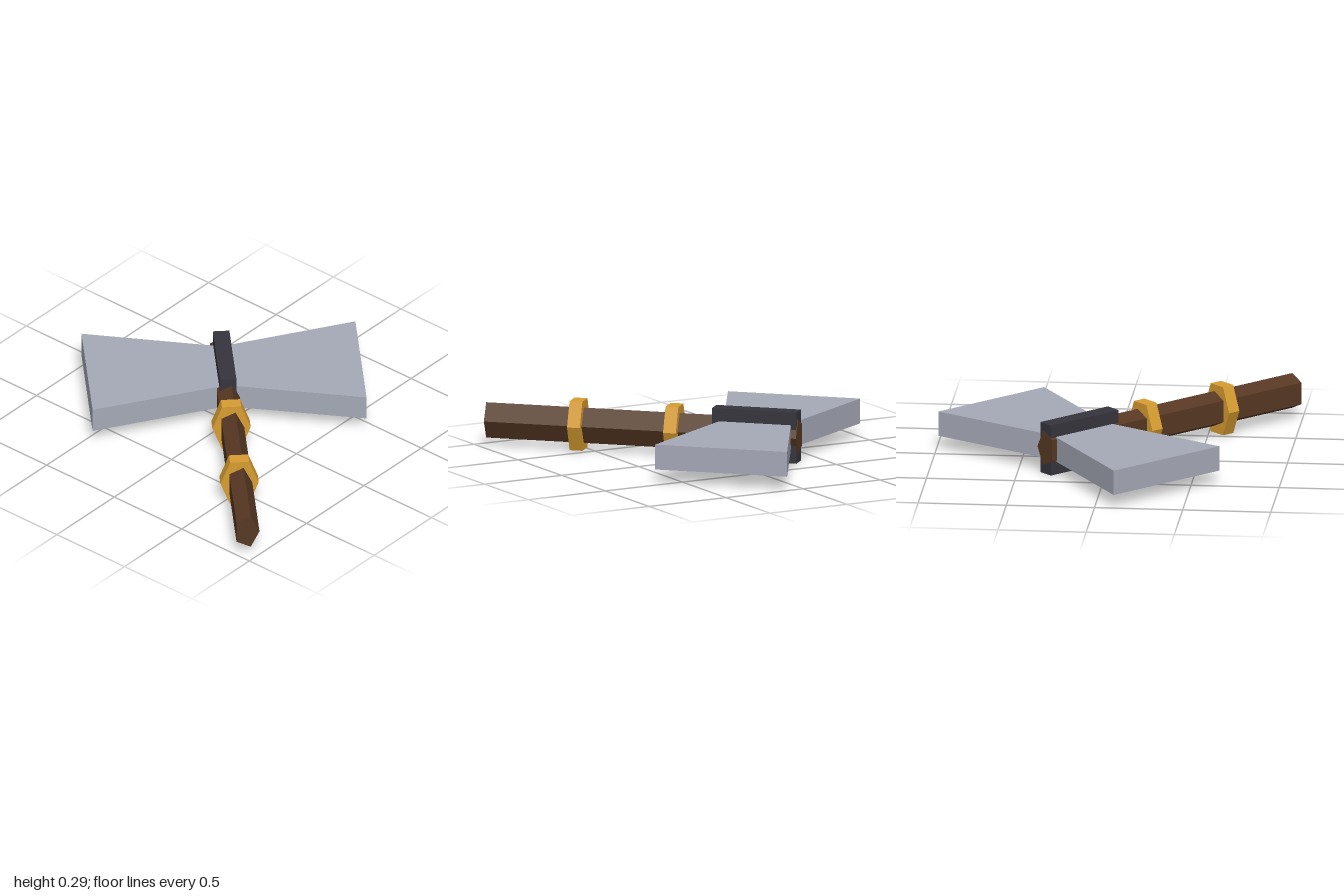
import * as THREE from 'three';

const paint = (name, color) => {
  const m = new THREE.MeshStandardMaterial({ color, flatShading: true });
  m.name = name;
  return m;
};

export function createModel() {
  const wood = paint('brown wood', 0x573823);
  const gold = paint('gold', 0xd89d31);
  const iron = paint('dark iron', 0x36353d);
  const steel = paint('pale steel', 0xa6aab8);

  const model = new THREE.Group();
  model.name = 'doubleAxe';
  // Local x runs along the handle, local z across the blades
  const axe = new THREE.Group();
  axe.name = 'axe';
  axe.rotation.y = Math.PI / 4;
  model.add(axe);

  const midY = 0.148;
  const midZ = -0.008;

  const add = (name, geometry, material) => {
    const mesh = new THREE.Mesh(geometry, material);
    mesh.name = name;
    axe.add(mesh);
  };

  // Squashed n-sided bar lying along x, one corner towards +z
  const bar = (sides, x0, x1, ry, rz) =>
    new THREE.CylinderGeometry(1, 1, x1 - x0, sides)
      .rotateZ(Math.PI / 2)
      .scale(1, ry, rz)
      .translate((x0 + x1) / 2, midY, midZ);

  add('handle', bar(5, -1.34, 0.487, 0.107, 0.072), wood);

  // Hexagonal grip bands
  [[-0.843, -0.768], [-0.281, -0.206]].forEach(([a, b], i) =>
    add('gripBand' + (i + 1), bar(6, a, b, 0.163, 0.1085), gold));

  // Block that clamps the blades to the handle
  add('headBlock', new THREE.BoxGeometry(0.494, 0.294, 0.094).translate(0.237, 0.147, -0.005), iron);

  // Flared blades, mirrored across the handle
  for (const side of [1, -1]) {
    const z = (d) => midZ + side * d;
    const outline = new THREE.Shape([
      new THREE.Vector2(0.043, z(0)),
      new THREE.Vector2(0.439, z(0)),
      new THREE.Vector2(0.63, z(0.776)),
      new THREE.Vector2(-0.144, z(0.776)),
    ]);
    const blade = new THREE.ExtrudeGeometry(outline, { depth: 0.143, bevelEnabled: false })
      .rotateX(Math.PI / 2)
      .translate(0, 0.22, 0);
    add(side > 0 ? 'frontBlade' : 'backBlade', blade, steel);
  }

  return model;
}
